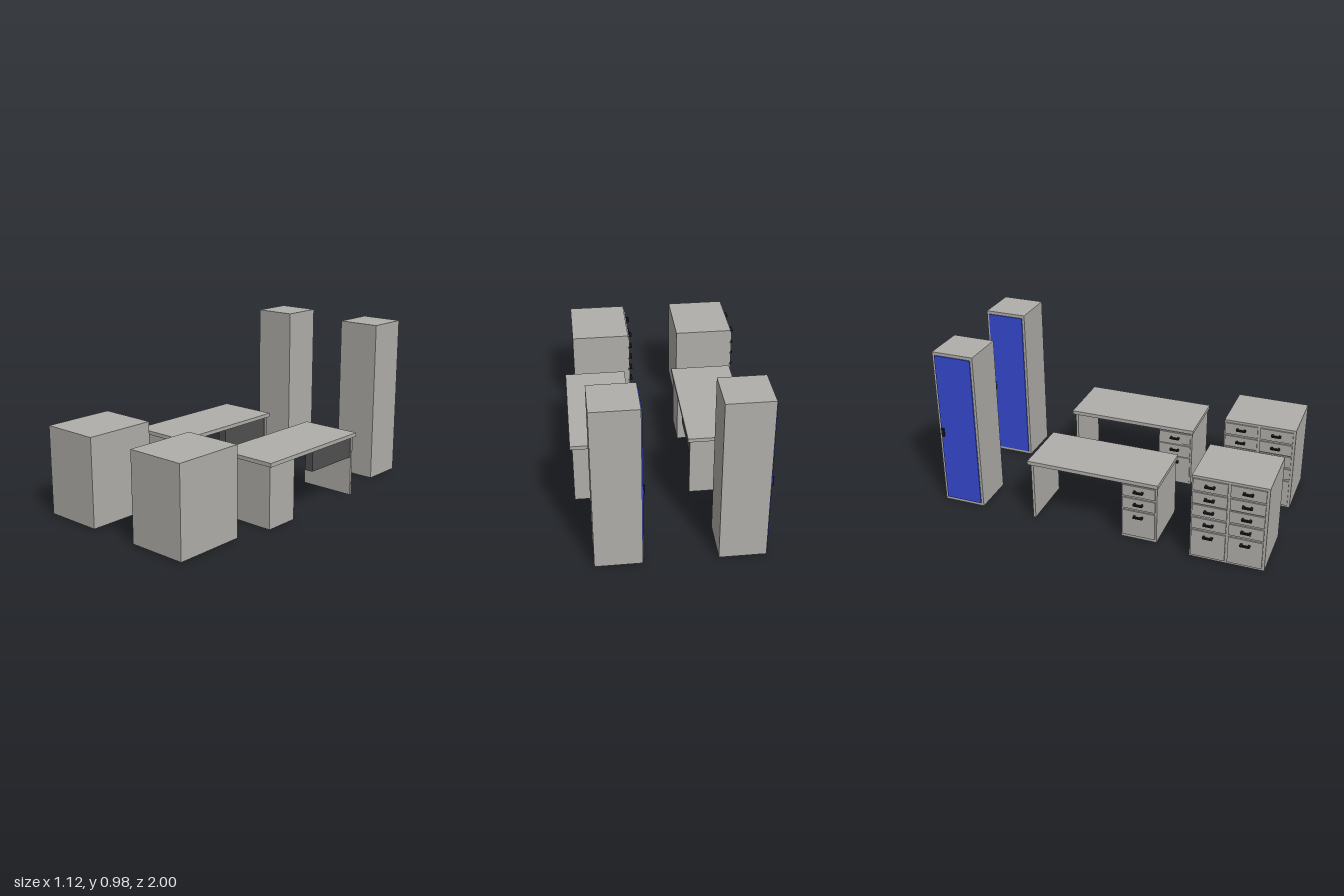
import * as THREE from 'three';

const mat = (name, color) => {
  const m = new THREE.MeshStandardMaterial({ color });
  m.name = name;
  return m;
};

export function createModel() {
  const grey = mat('greyLaminate', 0xb0aeaa);
  const dark = mat('darkPanel', 0x505050);
  const blue = mat('blueDoor', 0x364ad0);
  const black = mat('blackHandle', 0x1a1a1a);

  // Box given by its minimum and maximum on each axis
  const box = (parent, name, material, [x0, x1], [y0, y1], [z0, z1]) => {
    const mesh = new THREE.Mesh(new THREE.BoxGeometry(x1 - x0, y1 - y0, z1 - z0), material);
    mesh.position.set((x0 + x1) / 2, (y0 + y1) / 2, (z0 + z1) / 2);
    mesh.name = name;
    parent.add(mesh);
  };

  // Drawer front on the -x side of a carcass, with a U-shaped pull
  const drawer = (parent, face, [y0, y1], handleY, [z0, z1]) => {
    const g = new THREE.Group();
    g.name = 'drawer';
    box(g, 'drawerFront', grey, [face - 0.008, face], [y0, y1], [z0, z1]);
    const zc = (z0 + z1) / 2, x0 = face - 0.03, x1 = face - 0.008;
    const y = [handleY - 0.005, handleY + 0.005];
    box(g, 'handleBar', black, [x0, x0 + 0.011], y, [zc - 0.028, zc + 0.028]);
    for (const s of [-1, 1]) {
      const z = zc + s * 0.022;
      box(g, 'handlePost', black, [x0 + 0.011, x1], y, [z - 0.006, z + 0.006]);
    }
    parent.add(g);
  };

  // Shared drawer rows, bottom to top: front extent and handle height
  const rows = [
    [[0.02, 0.187], 0.156],
    [[0.2, 0.27], 0.239],
    [[0.283, 0.353], 0.321],
    [[0.361, 0.431], 0.4],
    [[0.443, 0.515], 0.483],
  ];

  // Drawer cabinet: two columns of five drawers
  const makeCabinet = () => {
    const g = new THREE.Group();
    g.name = 'drawerCabinet';
    box(g, 'cabinetBody', grey, [-0.529, -0.172], [0.005, 0.53], [0.572, 1]);
    for (const [y, h] of rows) {
      drawer(g, -0.529, y, h, [0.58, 0.775]);
      drawer(g, -0.529, y, h, [0.79, 0.985]);
    }
    return g;
  };

  // Desk: top, drawer pedestal, end panel and dark hanging panel
  const makeDesk = () => {
    const g = new THREE.Group();
    g.name = 'desk';
    box(g, 'deskTop', grey, [-0.485, -0.113], [0.365, 0.388], [-0.428, 0.367]);
    box(g, 'pedestal', grey, [-0.471, -0.126], [0, 0.365], [0.147, 0.36]);
    box(g, 'endPanel', grey, [-0.471, -0.126], [0, 0.365], [-0.412, -0.397]);
    box(g, 'hangingPanel', dark, [-0.185, -0.132], [0.238, 0.365], [-0.397, -0.028]);
    for (const [y, h] of rows.slice(0, 3)) drawer(g, -0.471, y, h, [0.155, 0.35]);
    return g;
  };

  // Tall locker with a blue door
  const makeLocker = () => {
    const g = new THREE.Group();
    g.name = 'locker';
    box(g, 'lockerBody', grey, [-0.469, -0.208], [0, 0.982], [-1, -0.745]);
    box(g, 'lockerDoor', blue, [-0.476, -0.469], [0.02, 0.963], [-0.985, -0.76]);
    box(g, 'doorHandle', black, [-0.486, -0.476], [0.447, 0.499], [-0.98, -0.964]);
    return g;
  };

  // Two identical workstations side by side
  const model = new THREE.Group();
  model.name = 'officeFurniture';
  for (const [name, x] of [['rightWorkstation', 0], ['leftWorkstation', 0.673]]) {
    const station = new THREE.Group();
    station.name = name;
    station.add(makeCabinet(), makeDesk(), makeLocker());
    station.position.x = x;
    model.add(station);
  }
  return model;
}
